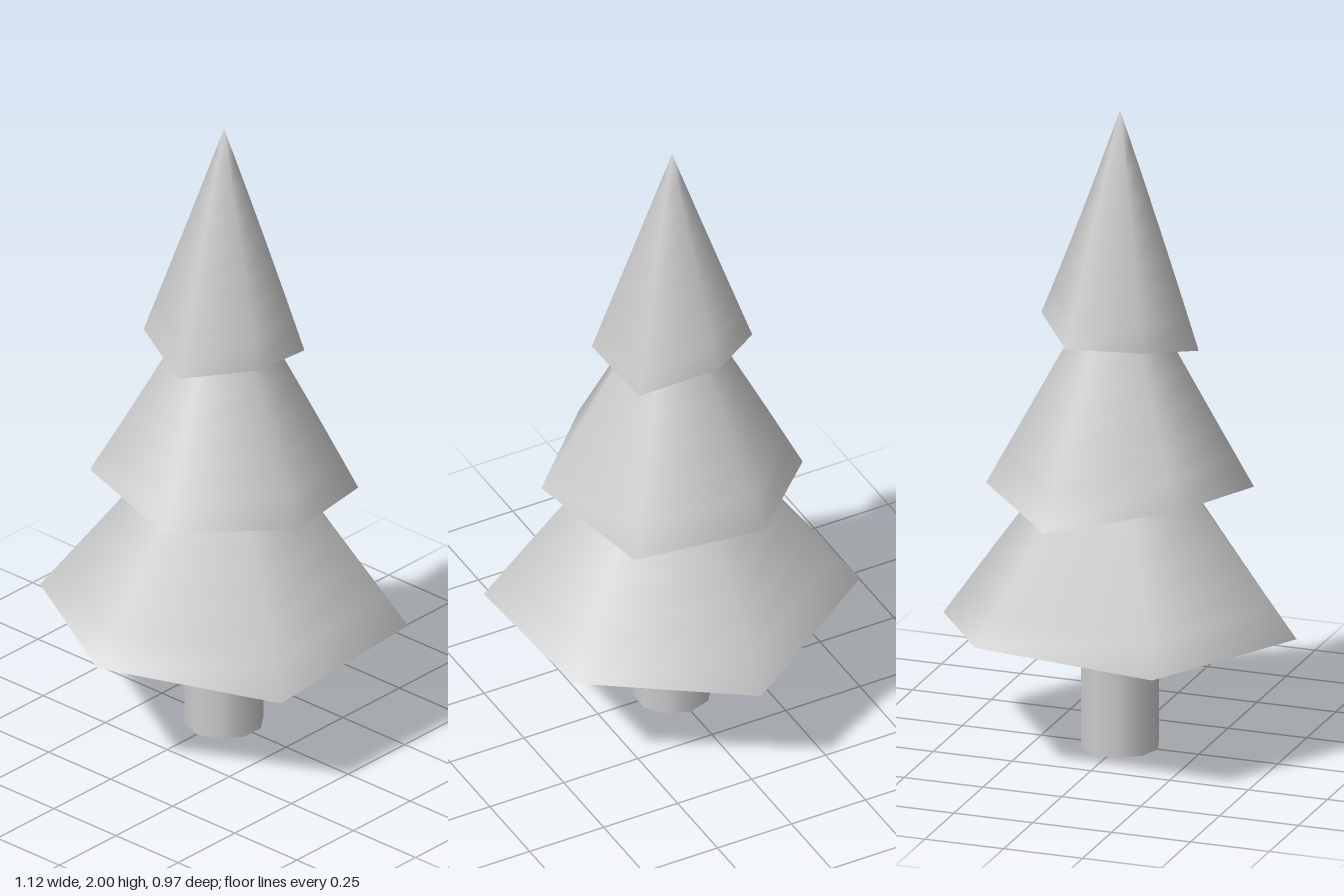
import * as THREE from 'three';
import { mergeVertices } from 'three/addons/utils/BufferGeometryUtils.js';

const SIDES = 6, ROWS = 8;

// Each tier: corner heights run counterclockwise (seen from above) from +x, turned by twist
const TIERS = [
  { name: 'lowerBranches', radius: 0.56, apex: 1.13, twist: 0, corners: [0.35, 0.43, 0.395, 0.4, 0.345, 0.385] },
  { name: 'middleBranches', radius: 0.4, apex: 1.56, twist: 15.5, corners: [0.815, 0.78, 0.86, 0.825, 0.825, 0.775] },
  { name: 'upperBranches', radius: 0.24, apex: 2, twist: 7.5, corners: [1.345, 1.308, 1.312, 1.26, 1.3, 1.262] },
];

function createTier({ name, radius, apex, twist, corners }, material) {
  const turn = THREE.MathUtils.degToRad(twist);
  const mean = corners.reduce((sum, y) => sum + y, 0) / SIDES;
  const group = new THREE.Group();
  group.name = name;

  // Smooth six-sided cone whose rim dips and rises, fading out towards the tip
  let cone = new THREE.CylinderGeometry(0, radius, 1, SIDES, ROWS, true, Math.PI / 2 + turn);
  const p = cone.attributes.position;
  for (let i = 0; i < p.count; i++) {
    const t = Math.floor(i / (SIDES + 1)) / ROWS;
    const corner = corners[(i % (SIDES + 1)) % SIDES];
    p.setY(i, apex + (mean - apex) * t + (corner - mean) * t * t);
  }
  cone.deleteAttribute('uv');
  cone.deleteAttribute('normal');
  cone = mergeVertices(cone, 1e-5);
  cone.computeVertexNormals();
  const sides = new THREE.Mesh(cone, material);
  sides.name = name + 'Sides';

  // Underside following the uneven rim
  const cap = new THREE.CircleGeometry(radius, SIDES, -turn);
  cap.rotateX(Math.PI / 2);
  const c = cap.attributes.position;
  c.setY(0, mean);
  for (let i = 1; i < c.count; i++) c.setY(i, corners[(SIDES - ((i - 1) % SIDES)) % SIDES]);
  cap.computeVertexNormals();
  const underside = new THREE.Mesh(cap, material);
  underside.name = name + 'Underside';

  group.add(sides, underside);
  return group;
}

export function createModel() {
  const material = new THREE.MeshStandardMaterial({ color: 0xcccccc });
  const tree = new THREE.Group();
  tree.name = 'tree';

  // Ten-sided trunk reaching up into the lowest tier
  const trunk = new THREE.Mesh(new THREE.CylinderGeometry(0.12, 0.12, 0.5, 10, 1, false, Math.PI / 2), material);
  trunk.position.y = 0.25;
  trunk.name = 'trunk';
  tree.add(trunk);

  for (const tier of TIERS) tree.add(createTier(tier, material));
  return tree;
}
